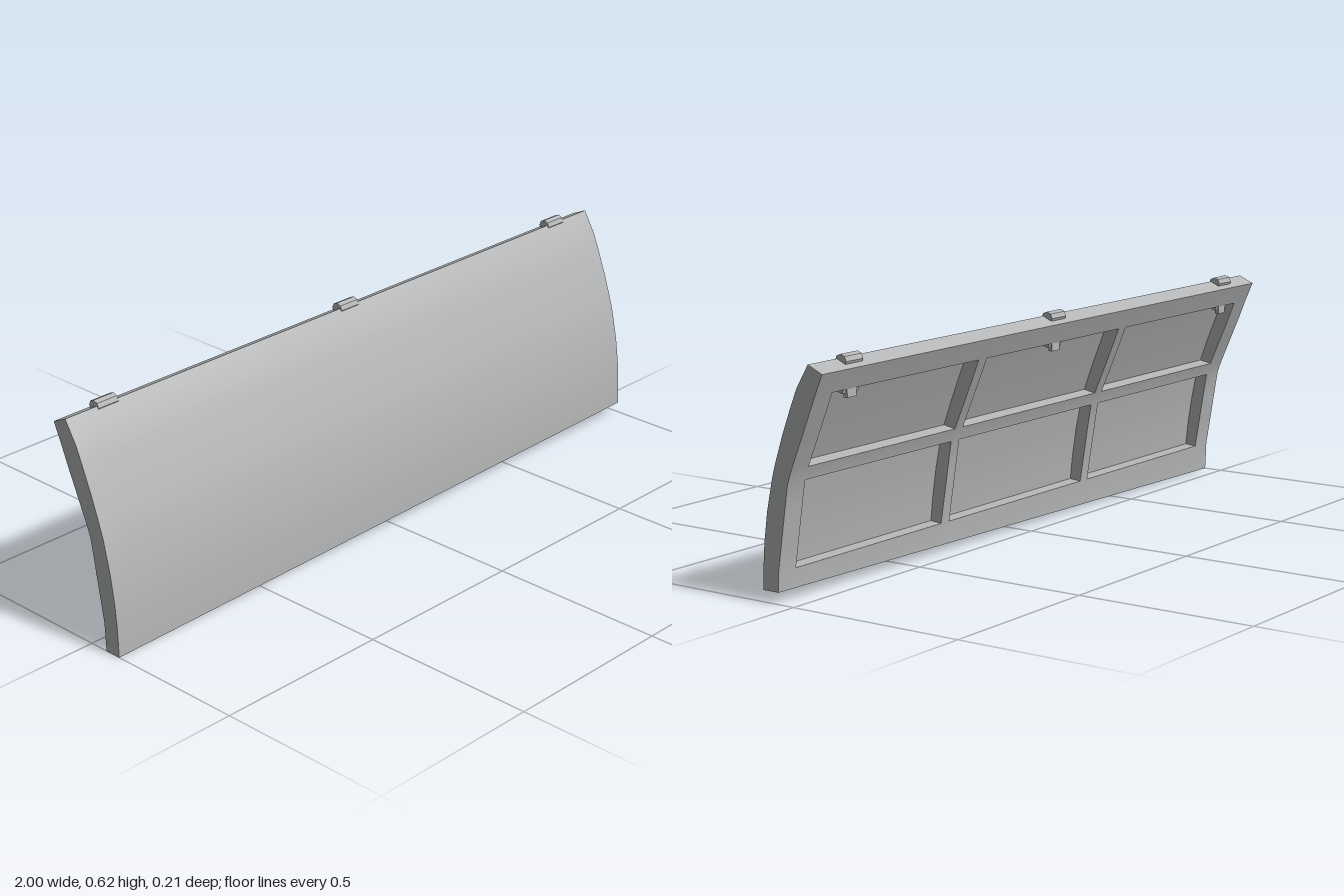
import * as THREE from 'three';
import { toCreasedNormals } from 'three/addons/utils/BufferGeometryUtils.js';

// Matching front and back profile points [z, y], from bottom to top
const FRONT = [[0.096, 0.03], [0.0945, 0.085], [0.09, 0.15], [0.079, 0.23], [0.061, 0.315],
  [0.051, 0.35], [0.026, 0.425], [-0.003, 0.5], [-0.022, 0.545], [-0.058, 0.605]];
const BACK = [[0.048, 0.03], [0.046, 0.08], [0.0355, 0.15], [0.0235, 0.23], [0.012, 0.305],
  [0, 0.34], [-0.03, 0.412], [-0.058, 0.48], [-0.078, 0.53], [-0.102, 0.585]];
// Column lines: side rims, three bays and the two upright ribs between them
const XS = [-1, -0.935, -0.345, -0.31, 0.31, 0.345, 0.935, 1];
const SKIN = 0.3; // skin thickness as a share of the full depth

// Point on the panel: x, profile row r, depth t (0 = front, 1 = back)
function point(x, r, t) {
  const s = (1 - x) / 2; // the right end is slightly deeper and longer
  const z = THREE.MathUtils.lerp(FRONT[r][0], BACK[r][0], t) + 0.0075 * s * Math.max(0, 1 - r / 7);
  const y = THREE.MathUtils.lerp(FRONT[r][1], BACK[r][1], t) - (r === 0 ? 0.03 * s : 0);
  return [x, y, z];
}

// Depth of each grid cell: nothing outside, thin skin in the bays, full at rims and ribs
function depth(c, r) {
  if (c < 0 || c > XS.length - 2 || r < 0 || r > FRONT.length - 2) return 0;
  const bay = c % 2 === 1 && r !== 0 && r !== 4 && r !== 8;
  return bay ? SKIN : 1;
}

function panelGeometry() {
  const pos = [];
  const quad = (a, b, c, d) => pos.push(...a, ...b, ...c, ...a, ...c, ...d);
  const cols = XS.length - 1, rows = FRONT.length - 1;
  for (let c = 0; c <= cols; c++) {
    for (let r = 0; r <= rows; r++) {
      const x0 = XS[c], x1 = XS[c + 1], d = depth(c, r);
      // front and back faces
      if (c < cols && r < rows) {
        quad(point(x0, r, 0), point(x1, r, 0), point(x1, r + 1, 0), point(x0, r + 1, 0));
        quad(point(x1, r, d), point(x0, r, d), point(x0, r + 1, d), point(x1, r + 1, d));
      }
      // upright walls where the depth changes sideways
      const left = depth(c - 1, r);
      if (r < rows && left !== d) {
        quad(point(x0, r, d), point(x0, r, left), point(x0, r + 1, left), point(x0, r + 1, d));
      }
      // ledges where the depth changes upwards
      const below = depth(c, r - 1);
      if (c < cols && below !== d) {
        quad(point(x0, r, below), point(x0, r, d), point(x1, r, d), point(x1, r, below));
      }
    }
  }
  const geo = new THREE.BufferGeometry();
  geo.setAttribute('position', new THREE.Float32BufferAttribute(pos, 3));
  return toCreasedNormals(geo, 0.3);
}

export function createModel() {
  const group = new THREE.Group();
  group.name = 'curvedPanel';
  const grey = new THREE.MeshStandardMaterial({ color: 0xb4b5b6 });
  grey.name = 'grey';

  const add = (name, geo, parent) => {
    const mesh = new THREE.Mesh(geo, grey);
    mesh.name = name;
    parent.add(mesh);
    return mesh;
  };

  add('ribbedPanel', panelGeometry(), group);

  // Three hinge clips: a knuckle on the top edge and a hook under the top rim
  const knuckle = toCreasedNormals(new THREE.CylinderGeometry(0.0175, 0.0175, 0.065, 8).rotateZ(Math.PI / 2), 0.3);
  const hook = new THREE.BoxGeometry(0.035, 0.035, 0.012);
  const arm = new THREE.BoxGeometry(0.06, 0.014, 0.05);
  for (const x of [-0.865, -0.005, 0.86]) {
    const clip = new THREE.Group();
    clip.name = 'hingeClip';
    clip.position.x = x;
    group.add(clip);
    add('knuckle', knuckle, clip).position.set(0, 0.6, -0.07);
    add('hook', hook, clip).position.set(0, 0.526, -0.071);
    const bar = add('hookArm', arm, clip);
    bar.position.set(0, 0.533, -0.05);
    bar.rotation.x = -0.3;
  }
  return group;
}
